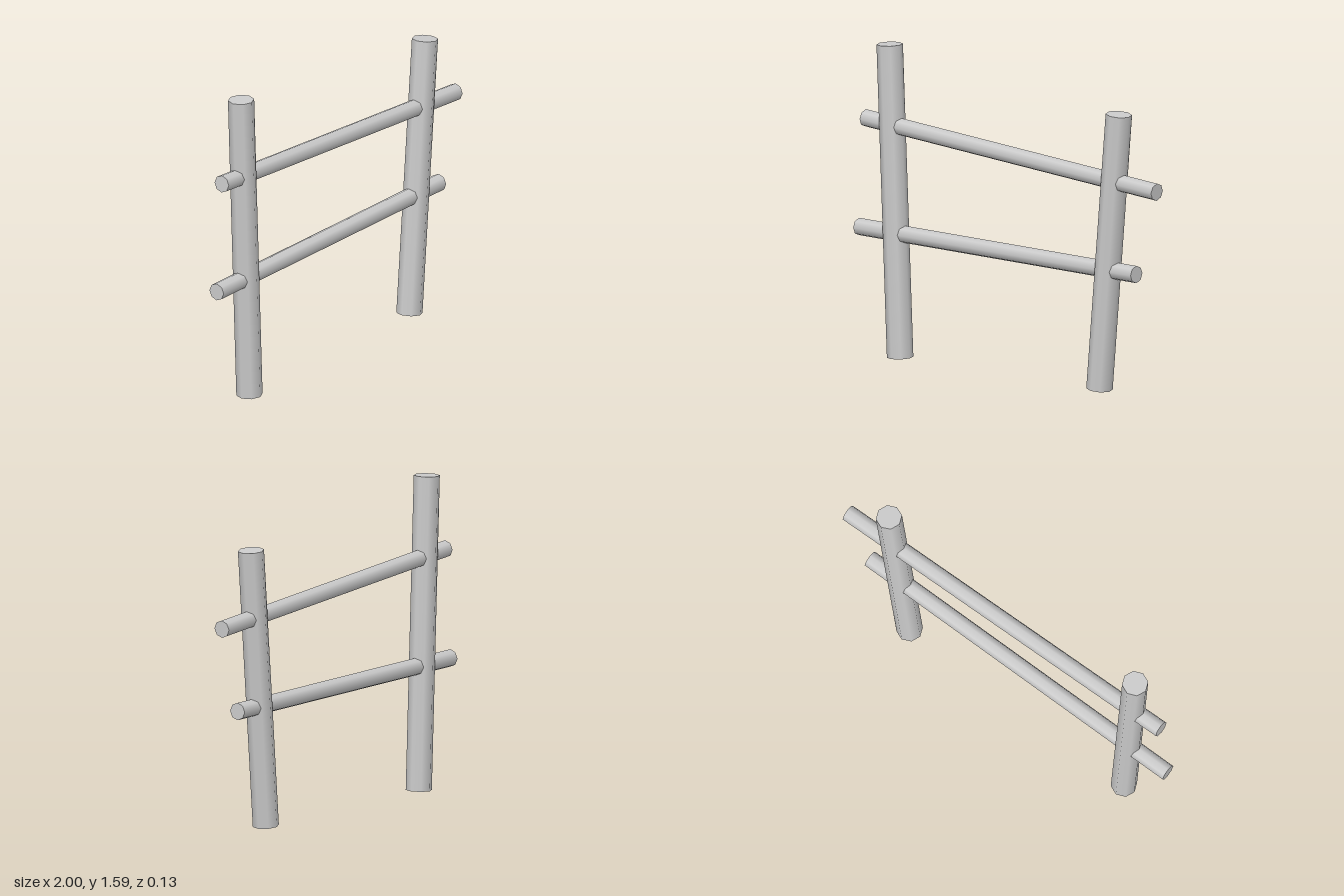
import * as THREE from 'three';

const material = new THREE.MeshStandardMaterial({ color: 0xcccccc });

// Eight-sided pole running between two points in the z = 0 plane
function pole(name, radius, x1, y1, x2, y2) {
  const start = new THREE.Vector3(x1, y1, 0);
  const end = new THREE.Vector3(x2, y2, 0);
  const axis = end.clone().sub(start);
  const mesh = new THREE.Mesh(new THREE.CylinderGeometry(radius, radius, axis.length(), 8), material);
  mesh.name = name;
  mesh.position.copy(start).add(end).multiplyScalar(0.5);
  mesh.quaternion.setFromUnitVectors(new THREE.Vector3(0, 1, 0), axis.normalize());
  return mesh;
}

export function createModel() {
  const fence = new THREE.Group();
  fence.name = 'fence';
  fence.add(
    // Leaning posts
    pole('rightPost', 0.066, -0.724, 0.003, -0.794, 1.587),
    pole('leftPost', 0.066, 0.613, 0.037, 0.743, 1.453),
    // Crooked rails passing through the posts
    pole('upperRail', 0.044, -0.956, 1.188, 0.998, 1.094),
    pole('lowerRail', 0.044, -0.999, 0.628, 0.861, 0.655)
  );
  return fence;
}
